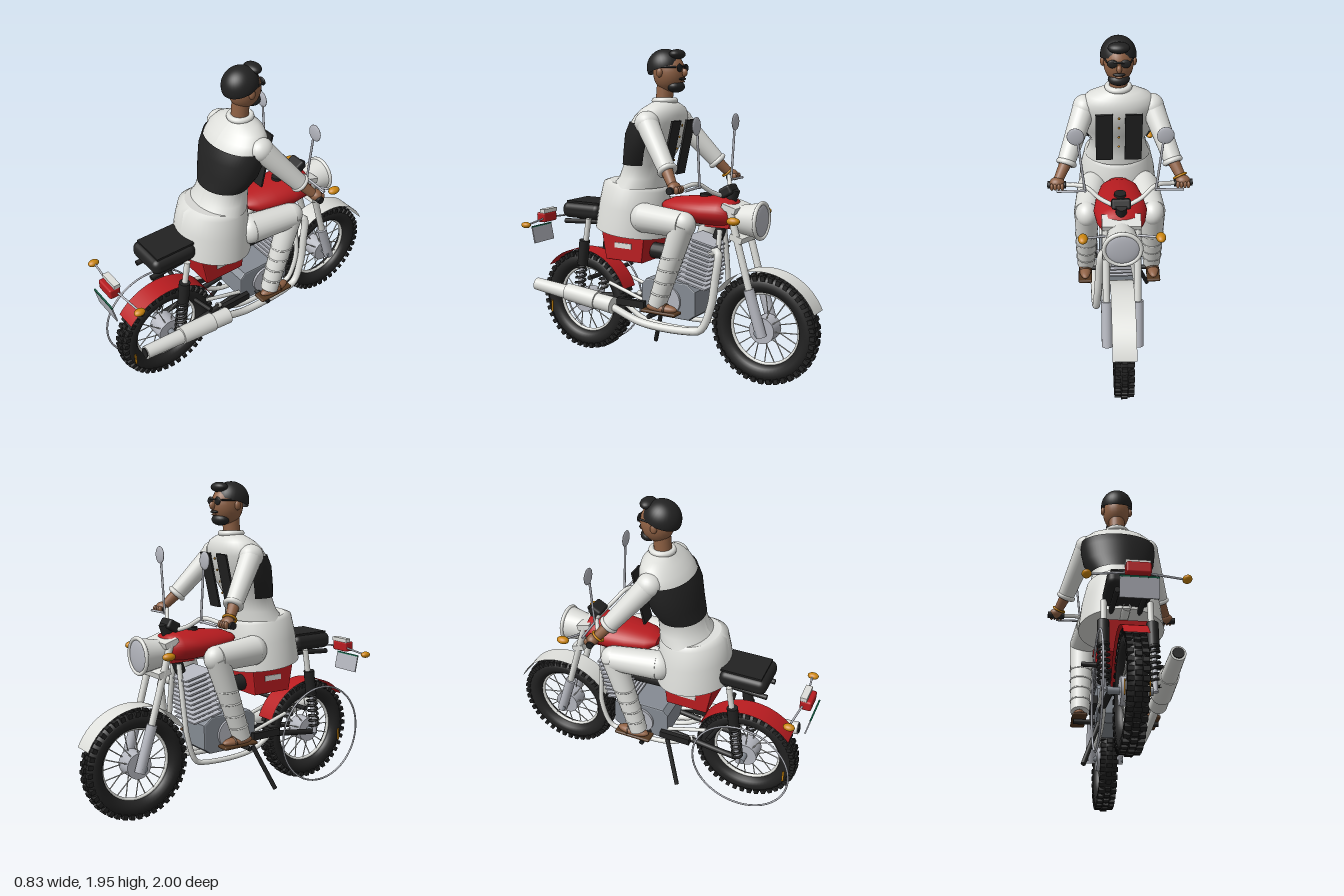
import * as THREE from 'three';
import { RoundedBoxGeometry } from 'three/addons/geometries/RoundedBoxGeometry.js';

const material = (name, color) => {
  const m = new THREE.MeshStandardMaterial({ color, side: THREE.DoubleSide });
  m.name = name;
  return m;
};
const V = (p) => new THREE.Vector3(...p);

export function createModel() {
  const root = new THREE.Group();
  root.name = 'motorcycleWithRider';
  const black = material('black', 0x222222), white = material('white', 0xdedfdb);
  const red = material('red', 0xb91c20), grey = material('grey', 0x858b93);
  const silver = material('silver', 0xb4b6be), skin = material('skin', 0x8f6144);
  const amber = material('amber', 0xcc860e), brown = material('brown', 0x54371f);
  const green = material('green', 0x0d5a40);

  // Helpers
  const add = (name, geo, mat, p = [0, 0, 0], parent = root) => {
    const m = new THREE.Mesh(geo, mat);
    m.name = name;
    m.position.set(...p);
    parent.add(m);
    return m;
  };
  const box = (name, mat, size, p, rx = 0, parent = root) => {
    const m = add(name, new THREE.BoxGeometry(...size), mat, p, parent);
    m.rotation.x = rx;
    return m;
  };
  const ball = (name, mat, size, p, parent = root) => {
    const m = add(name, new THREE.SphereGeometry(1, 24, 16), mat, p, parent);
    m.scale.set(...size);
    return m;
  };
  const rod = (name, mat, a, b, r1, r2 = r1, parent = root, sides = 16) => {
    const d = V(b).sub(V(a));
    const m = add(name, new THREE.CylinderGeometry(r2, r1, d.length(), sides), mat, V(a).add(V(b)).multiplyScalar(0.5).toArray(), parent);
    m.quaternion.setFromUnitVectors(new THREE.Vector3(0, 1, 0), d.normalize());
    return m;
  };
  const tube = (name, mat, r, pts) =>
    add(name, new THREE.TubeGeometry(new THREE.CatmullRomCurve3(pts.map(V), false, 'centripetal'), 48, r, 10), mat);
  // Elliptical sections, top first: [y, zCentre, xRadius, zRadius]
  const loft = (rows, start = 0, length = Math.PI * 2, open = false, tilt = 0) => {
    const n = rows.length - 1;
    const g = new THREE.CylinderGeometry(1, 1, 1, 40, n, open, start, length);
    const p = g.attributes.position;
    for (let i = 0; i < p.count; i++) {
      const [y, zc, rx, rz] = rows[Math.round((0.5 - p.getY(i)) * n)];
      const z = zc + p.getZ(i) * rz;
      p.setXYZ(i, p.getX(i) * rx, y + tilt * (z - zc), z);
    }
    g.computeVertexNormals();
    return g;
  };
  // Side outline of [z, y] points, extruded across the width
  const slab = (name, mat, pts, w) => {
    const s = new THREE.Shape(pts.map((q) => new THREE.Vector2(...q)));
    const g = new THREE.ExtrudeGeometry(s, { depth: w - 0.02, bevelThickness: 0.01, bevelSize: 0.008, bevelSegments: 2 });
    g.translate(0, 0, -w / 2 + 0.01).rotateY(-Math.PI / 2);
    return add(name, g, mat);
  };
  const ring = (name, mat, R, r, p) => add(name, new THREE.TorusGeometry(R, r, 12, 64).rotateY(Math.PI / 2), mat, p);

  // Wheels
  const wheel = (name, z) => {
    const g = new THREE.Group();
    g.name = name;
    g.position.set(0, 0.335, z);
    root.add(g);
    add('tyre', new THREE.TorusGeometry(0.268, 0.053, 14, 64).rotateY(Math.PI / 2), black, [0, 0, 0], g);
    add('rim', new THREE.TorusGeometry(0.215, 0.012, 8, 48).rotateY(Math.PI / 2), white, [0, 0, 0], g);
    rod('hub', silver, [-0.055, 0, 0], [0.055, 0, 0], 0.078, 0.078, g, 32);
    rod('axle', grey, [-0.12, 0, 0], [0.12, 0, 0], 0.02, 0.02, g);
    for (let i = 0; i < 40; i++) {
      const a = (i / 40) * Math.PI * 2;
      for (const x of [-0.038, 0, 0.038]) {
        const b = a + (x ? 0 : Math.PI / 40), r = x ? 0.308 : 0.318;
        box('treadBlock', black, [0.034, 0.03, 0.026], [x, r * Math.cos(b), r * Math.sin(b)], b, g);
      }
      if (i % 2) continue;
      const x = i % 4 ? 0.04 : -0.04;
      rod('spoke', white, [x, 0.07 * Math.cos(a), 0.07 * Math.sin(a)], [0, 0.212 * Math.cos(a), 0.212 * Math.sin(a)], 0.0035, 0.0035, g, 6);
    }
  };
  wheel('rearWheel', 0.604);
  wheel('frontWheel', -0.668);
  const rad = Math.PI / 180;
  const fender = (name, mat, r, z, from, to) =>
    add(name, new THREE.CylinderGeometry(r, r, 0.135, 32, 1, true, from * rad, (to - from) * rad).rotateZ(Math.PI / 2), mat, [0, 0.335, z]);
  fender('rearFender', red, 0.342, 0.604, 38, 160);
  fender('frontFender', white, 0.353, -0.668, 30, 156);
  ring('sideGuardRing', silver, 0.312, 0.006, [-0.17, 0.335, 0.61]);

  // Engine
  slab('engineCase', grey, [[0.1, 0.53], [0.07, 0.56], [-0.21, 0.56], [-0.26, 0.52], [-0.26, 0.38], [-0.22, 0.35], [0.06, 0.35], [0.1, 0.39]], 0.25);
  rod('engineCover', silver, [-0.14, 0.45, -0.08], [0.14, 0.45, -0.08], 0.09, 0.09, root, 32);
  const cyl = new THREE.Group();
  cyl.name = 'cylinder';
  cyl.position.set(0, 0.69, -0.255);
  cyl.rotation.x = -0.22;
  root.add(cyl);
  box('cylinderCore', grey, [0.14, 0.28, 0.13], [0, 0, 0], 0, cyl);
  for (let i = 0; i < 10; i++) box('coolingFin', silver, [0.22, 0.01, 0.2], [0, -0.13 + i * 0.03, 0], 0, cyl);
  rod('airIntake', black, [0, 0.72, 0.1], [0, 0.71, -0.18], 0.05);

  // Frame and suspension
  tube('backbone', white, 0.025, [[0, 0.98, -0.44], [0, 0.95, -0.1], [0, 0.87, 0.2], [0, 0.87, 0.5]]);
  rod('steeringHead', black, [0, 0.84, -0.35], [0, 1.14, -0.46], 0.032);
  for (const s of [-1, 1]) {
    tube('cradleTube', white, 0.016, [[s * 0.03, 0.9, -0.38], [s * 0.08, 0.62, -0.38], [s * 0.1, 0.47, -0.37], [s * 0.1, 0.31, -0.31], [s * 0.1, 0.29, -0.25], [s * 0.1, 0.3, 0.1], [s * 0.1, 0.4, 0.28]]);
    rod('swingArm', black, [s * 0.1, 0.4, 0.1], [s * 0.1, 0.335, 0.6], 0.018);
    rod('rearStay', white, [s * 0.13, 0.9, 0.5], [s * 0.13, 0.72, 0.53], 0.018);
    rod('lowerStay', white, [s * 0.11, 0.5, 0.36], [s * 0.11, 0.42, 0.1], 0.012);
    rod('shockCover', black, [s * 0.135, 0.76, 0.53], [s * 0.135, 0.6, 0.55], 0.034);
    rod('shockRod', silver, [s * 0.135, 0.62, 0.55], [s * 0.135, 0.34, 0.59], 0.014);
    const pts = [];
    for (let i = 0; i <= 56; i++) {
      const t = i / 56, a = t * Math.PI * 14;
      pts.push([s * 0.135 + 0.03 * Math.cos(a), 0.62 - t * 0.24, 0.55 + t * 0.035 + 0.03 * Math.sin(a)]);
    }
    add('shockSpring', new THREE.TubeGeometry(new THREE.CatmullRomCurve3(pts.map(V)), 112, 0.008, 6), black);
    rod('seatRail', black, [s * 0.08, 0.88, 0.4], [s * 0.08, 0.86, 0.72], 0.016);
    rod('passengerPeg', black, [s * 0.1, 0.54, 0.44], [s * 0.24, 0.55, 0.42], 0.014);
    rod('footPeg', black, [s * 0.1, 0.37, -0.02], [s * 0.25, 0.37, -0.02], 0.015);
    box('pedal', black, [0.03, 0.045, 0.2], [s * 0.15, 0.405, 0.17]);
    rod('forkTube', white, [s * 0.09, 1.04, -0.47], [s * 0.09, 0.55, -0.61], 0.021);
    rod('forkSlider', silver, [s * 0.09, 0.58, -0.6], [s * 0.09, 0.31, -0.685], 0.032);
    rod('frontSignalStalk', silver, [s * 0.08, 0.97, -0.5], [s * 0.21, 0.995, -0.555], 0.007);
    ball('frontSignal', amber, [0.028, 0.023, 0.04], [s * 0.217, 0.993, -0.557]);
    rod('rearSignalStalk', silver, [s * 0.04, 0.85, 0.93], [s * 0.24, 0.84, 0.905], 0.006);
    ball('rearSignal', amber, [0.025, 0.02, 0.034], [s * 0.257, 0.84, 0.907]);
    box('sideReflector', amber, [0.006, 0.08, 0.012], [s * 0.062, 0.26, 0.865]);
    box('panelLabel', white, [0.006, 0.032, 0.12], [s * 0.138, 0.755, 0.235]);
    // Handlebar ends and mirrors
    rod('grip', black, [s * 0.31, 1.165, -0.265], [s * 0.415, 1.165, -0.26], 0.021);
    rod('mirrorStalk', silver, [s * 0.2, 1.16, -0.335], [s * 0.235, 1.49, -0.337], 0.007);
    const mirror = ball('mirror', silver, [0.048, 0.052, 0.01], [s * 0.245, 1.515, -0.337]);
    mirror.rotation.z = -s * 0.15;
    rod('lever', silver, [s * 0.2, 1.17, -0.34], [s * 0.36, 1.165, -0.335], 0.007);
  }
  tube('handlebar', white, 0.013, [[-0.4, 1.165, -0.26], [-0.31, 1.165, -0.265], [-0.2, 1.185, -0.32], [-0.11, 1.13, -0.37], [0, 1.1, -0.4],
    [0.11, 1.13, -0.37], [0.2, 1.185, -0.32], [0.31, 1.165, -0.265], [0.4, 1.165, -0.26]]);
  box('forkClamp', white, [0.22, 0.035, 0.09], [0, 1.04, -0.47], -0.3);
  box('lowerClamp', white, [0.22, 0.035, 0.08], [0, 0.87, -0.52], -0.3);
  add('instruments', new RoundedBoxGeometry(0.11, 0.06, 0.08, 2, 0.015), black, [0, 1.13, -0.42]).rotation.x = 0.5;
  rod('kickstand', black, [-0.11, 0.33, 0.1], [-0.205, 0.055, 0.21], 0.014);

  // Headlight
  rod('headlight', white, [0, 0.97, -0.49], [0, 0.97, -0.63], 0.08, 0.105, root, 32);
  add('headlightRim', new THREE.TorusGeometry(0.103, 0.012, 10, 36), white, [0, 0.97, -0.632]);
  ball('headlightLens', silver, [0.095, 0.095, 0.015], [0, 0.97, -0.632]);

  // Exhaust
  tube('exhaustPipe', white, 0.024, [[0.06, 0.76, -0.34], [0.11, 0.78, -0.41], [0.13, 0.6, -0.4], [0.14, 0.45, -0.38], [0.15, 0.31, -0.32],
    [0.155, 0.29, -0.24], [0.165, 0.295, 0.08], [0.19, 0.37, 0.28]]);
  rod('muffler', white, [0.2, 0.385, 0.27], [0.205, 0.445, 0.87], 0.052, 0.04, root, 28);
  rod('mufflerShield', white, [0.2, 0.4, 0.39], [0.203, 0.425, 0.62], 0.058, 0.054, root, 28);
  rod('mufflerOutlet', black, [0.205, 0.444, 0.86], [0.205, 0.446, 0.876], 0.03);

  // Tank, side panels, seat
  add('fuelTank', loft([[0.475, 1.0, 0.07, 0.06], [0.46, 1.0, 0.11, 0.085], [0.4, 1.005, 0.14, 0.09], [0.3, 1.005, 0.155, 0.087],
    [0.18, 1.005, 0.14, 0.08], [0.06, 1.01, 0.11, 0.06], [0, 1.02, 0.06, 0.025]]).rotateX(-Math.PI / 2), red);
  box('tankLowerEdge', red, [0.17, 0.12, 0.16], [0, 0.98, -0.385]);
  rod('tankCap', black, [0, 1.08, -0.27], [0, 1.105, -0.27], 0.035);
  slab('sidePanels', red, [[0.39, 0.83], [0.09, 0.83], [0.11, 0.665], [0.36, 0.665]], 0.27);
  add('seat', new RoundedBoxGeometry(0.265, 0.1, 0.29, 4, 0.04), black, [0, 0.94, 0.572]);
  box('seatTop', black, [0.22, 0.012, 0.25], [0, 0.994, 0.56]);

  // Tail
  add('tailLight', new RoundedBoxGeometry(0.13, 0.065, 0.07, 2, 0.012), red, [0, 0.857, 0.945]);
  box('tailLightTop', white, [0.13, 0.025, 0.04], [0, 0.9, 0.93]);
  box('numberPlate', silver, [0.2, 0.108, 0.008], [0, 0.737, 0.982], 0.2);
  box('plateEdge', green, [0.2, 0.01, 0.01], [0, 0.793, 0.993], 0.2);

  // Rider body
  const chest = [[1.56, 0.035, 0.215, 0.135], [1.52, 0.05, 0.225, 0.15], [1.45, 0.075, 0.225, 0.16], [1.35, 0.105, 0.21, 0.145], [1.26, 0.14, 0.165, 0.135]];
  add('shirt', loft([[1.645, 0.015, 0.06, 0.06], [1.625, 0.015, 0.13, 0.08], [1.6, 0.02, 0.18, 0.11], ...chest, [1.18, 0.16, 0.18, 0.145], [1.12, 0.19, 0.2, 0.17]]), white);
  add('shirtHem', loft([[1.14, 0.21, 0.18, 0.17], [1.12, 0.22, 0.205, 0.205], [1.0, 0.23, 0.232, 0.22], [0.84, 0.24, 0.25, 0.235]], 0, Math.PI * 2, false, 0.14), white);
  add('vest', loft(chest.slice(1).map(([y, z, a, b]) => [y, z, a + 0.008, b + 0.008]), -115 * rad, 230 * rad, true), black);
  for (const s of [-1, 1]) box('vestFront', black, [0.1, 0.34, 0.012], [s * 0.085, 1.365, -0.078], -0.22);
  for (let i = 0; i < 4; i++) ball('shirtButton', amber, [0.007, 0.007, 0.005], [0, 1.5 - i * 0.07, -0.105 + i * 0.018]);
  add('collar', new THREE.TorusGeometry(0.062, 0.018, 12, 32).rotateX(Math.PI / 2), white, [0, 1.645, 0.015]);

  // Arms and legs
  for (const s of [-1, 1]) {
    ball('shoulder', white, [0.07, 0.07, 0.075], [s * 0.195, 1.52, 0.02]);
    rod('sleeve', white, [s * 0.195, 1.52, 0.02], [s * 0.305, 1.27, -0.18], 0.068, 0.052, root, 24);
    const cuff = add('cuff', new THREE.TorusGeometry(0.045, 0.016, 10, 28), white, [s * 0.305, 1.265, -0.185]);
    cuff.lookAt(s * 0.195, 1.52, 0.02);
    rod('forearm', skin, [s * 0.3, 1.28, -0.17], [s * 0.352, 1.19, -0.245], 0.037, 0.028);
    ball('hand', skin, [0.043, 0.034, 0.036], [s * 0.36, 1.178, -0.262]);
    for (let i = 0; i < 4; i++) ball('finger', skin, [0.011, 0.022, 0.015], [s * (0.33 + i * 0.02), 1.168, -0.292]);
    ball('hip', white, [0.085, 0.09, 0.09], [s * 0.16, 0.95, 0.06]);
    rod('thigh', white, [s * 0.16, 0.95, 0.06], [s * 0.195, 0.94, -0.225], 0.09, 0.077, root, 24);
    ball('knee', white, [0.068, 0.078, 0.078], [s * 0.195, 0.94, -0.225]);
    rod('trouserLeg', white, [s * 0.195, 0.94, -0.222], [s * 0.21, 0.44, -0.055], 0.074, 0.055, root, 24);
    for (let i = 0; i < 4; i++) {
      const t = 0.4 + i * 0.15;
      const fold = add('trouserFold', new THREE.TorusGeometry(0.072 - t * 0.018, 0.006, 8, 28), white, [s * (0.195 + t * 0.015), 0.94 - t * 0.5, -0.222 + t * 0.167]);
      fold.lookAt(s * 0.195, 0.94, -0.16);
    }
    ball('foot', skin, [0.038, 0.028, 0.105], [s * 0.215, 0.425, -0.09]);
    add('sandal', new RoundedBoxGeometry(0.085, 0.02, 0.24, 2, 0.009), brown, [s * 0.215, 0.402, -0.085]);
    add('sandalStrap', new THREE.TorusGeometry(0.036, 0.007, 8, 20, Math.PI), brown, [s * 0.215, 0.415, -0.12]);
  }
  const bangle = add('bangle', new THREE.TorusGeometry(0.037, 0.007, 8, 28), amber, [-0.345, 1.195, -0.237]);
  bangle.lookAt(-0.3, 1.28, -0.17);

  // Head
  rod('neck', skin, [0, 1.62, 0.02], [0, 1.77, 0.01], 0.052, 0.05, root, 24);
  ball('face', skin, [0.085, 0.115, 0.1], [0, 1.81, -0.015]);
  add('hair', new THREE.SphereGeometry(0.102, 32, 20, 0, Math.PI * 2, 0, 1.7).scale(1, 1.05, 1.08), black, [0, 1.842, 0.015]).rotation.x = 0.3;
  ball('quiff', black, [0.062, 0.03, 0.045], [0, 1.916, -0.07]);
  ball('nose', skin, [0.015, 0.024, 0.022], [0, 1.81, -0.118]);
  ball('beard', black, [0.062, 0.036, 0.05], [0, 1.728, -0.062]);
  ball('moustache', black, [0.035, 0.009, 0.014], [0, 1.773, -0.107]);
  ball('mouth', skin, [0.02, 0.006, 0.01], [0, 1.757, -0.109]);
  for (const s of [-1, 1]) {
    ball('ear', skin, [0.014, 0.028, 0.02], [s * 0.089, 1.81, 0]);
    ball('glassesLens', black, [0.03, 0.024, 0.008], [s * 0.036, 1.837, -0.108]);
    rod('glassesArm', black, [s * 0.065, 1.842, -0.1], [s * 0.09, 1.842, 0], 0.005);
  }
  rod('glassesBridge', black, [-0.03, 1.845, -0.112], [0.03, 1.845, -0.112], 0.005);
  return root;
}
